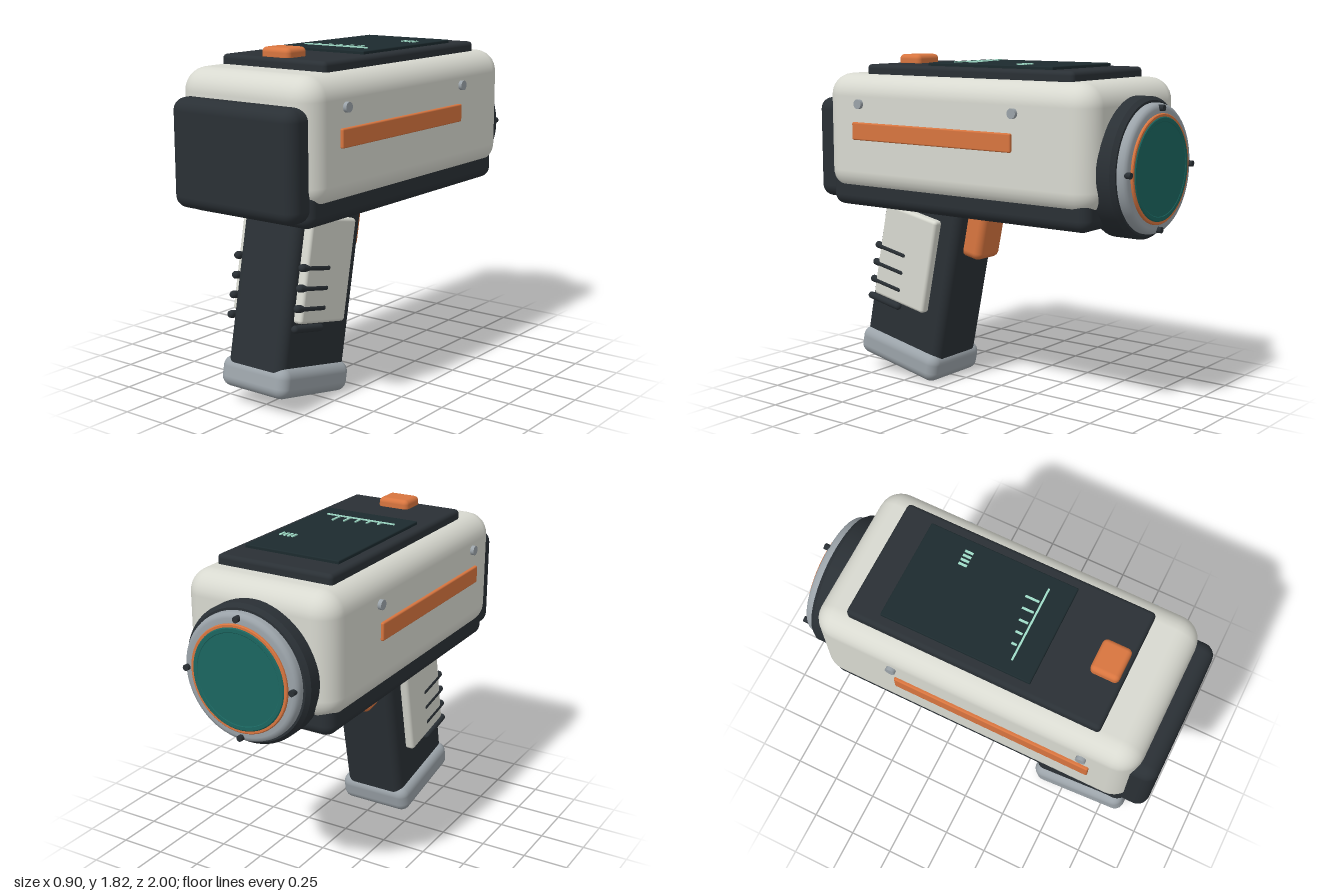
import * as THREE from 'three';
import { RoundedBoxGeometry } from 'three/addons/geometries/RoundedBoxGeometry.js';

const mat = (color) => new THREE.MeshStandardMaterial({ color });

export function createModel() {
  const shell = mat(0xd8d9d0), dark = mat(0x2a3035), orange = mat(0xd8753f), silver = mat(0x9ba3a9);
  const glass = mat(0x1c2a2e), teal = mat(0x1b6660), glow = mat(0x9fdcc8);
  const model = new THREE.Group();

  function add(parent, name, geometry, material, x, y, z) {
    const mesh = new THREE.Mesh(geometry, material);
    mesh.name = name;
    mesh.position.set(x, y, z);
    parent.add(mesh);
    return mesh;
  }
  // rounded box given by its [min, max] range on each axis
  function block(parent, name, material, [x0, x1], [y0, y1], [z0, z1], r, seg = 4) {
    return add(parent, name, new RoundedBoxGeometry(x1 - x0, y1 - y0, z1 - z0, seg, r), material,
      (x0 + x1) / 2, (y0 + y1) / 2, (z0 + z1) / 2);
  }
  const sym = (v) => [-v, v];

  // housing
  block(model, 'housing', shell, sym(0.43), [1.08, 1.73], [-0.845, 0.905], 0.12);
  block(model, 'underside', dark, sym(0.4), [1.0, 1.2], [-0.81, 0.89], 0.06);
  block(model, 'frontPad', dark, sym(0.39), [1.035, 1.59], [0.82, 1.0], 0.065);

  // top console with display and button
  block(model, 'console', dark, sym(0.33), [1.71, 1.78], [-0.68, 0.67], 0.022);
  block(model, 'display', glass, sym(0.272), [1.77, 1.797], [-0.52, 0.28], 0.006, 2);
  block(model, 'button', orange, sym(0.09), [1.76, 1.828], [0.5, 0.65], 0.025);
  const mark = (name, x, z, w, d) =>
    add(model, name, new THREE.BoxGeometry(w, 0.008, d), glow, x, 1.799, z);
  for (let i = 0; i < 4; i++) mark('levelBar', 0.135 + i * 0.024, -0.28, 0.012, 0.045);
  mark('chartBaseline', 0, 0.153, 0.41, 0.01);
  [0.028, 0.036, 0.048, 0.062, 0.074].forEach((h, i) =>
    mark('chartTick', -0.127 + i * 0.062, 0.14 - h / 2, 0.011, h));

  // side stripes and screws
  for (const s of [-1, 1]) {
    add(model, 'sideStripe', new RoundedBoxGeometry(0.04, 0.096, 1.066, 2, 0.008), orange, s * 0.426, 1.423, 0.148);
    for (const z of [0.635, -0.395]) {
      const screw = add(model, 'sideScrew', new THREE.CylinderGeometry(0.026, 0.026, 0.04, 20), silver, s * 0.43, 1.57, z);
      screw.rotation.z = Math.PI / 2;
    }
  }

  // lens assembly: profiles run (radius, distance towards the back)
  const lens = new THREE.Group();
  lens.name = 'lens';
  lens.position.set(0, 1.295, 0);
  lens.rotation.x = -Math.PI / 2;
  model.add(lens);
  const turned = (name, material, points) => {
    const flat = [];
    // doubled points keep the edges crisp
    points.forEach(([r, h]) => flat.push(new THREE.Vector2(r, h), new THREE.Vector2(r, h)));
    for (let i = 1; i < flat.length - 2; i += 2) {
      const part = new THREE.LatheGeometry([flat[i], flat[i + 1]], 64);
      add(lens, name, part, material, 0, 0, 0);
    }
  };
  turned('collar', dark, [[0, 0.76], [0.345, 0.76], [0.358, 0.775], [0.358, 0.91], [0.34, 0.932], [0, 0.932]]);
  const bezelArc = [[0.328, 0.92], [0.328, 0.95], [0.324, 0.965], [0.314, 0.975], [0.3, 0.979], [0.27, 0.979]];
  add(lens, 'bezel', new THREE.LatheGeometry(bezelArc.map(([r, h]) => new THREE.Vector2(r, h)), 64), silver, 0, 0, 0);
  turned('accentRing', orange, [[0.277, 0.96], [0.277, 0.987], [0.273, 0.991], [0.25, 0.991]]);
  turned('lensGlass', teal, [[0.261, 0.97], [0.261, 0.992], [0.256, 0.996], [0.238, 0.996], [0.235, 0.994], [0, 0.994]]);
  for (let i = 0; i < 4; i++) {
    const a = i * Math.PI / 2;
    add(lens, 'lensScrew', new THREE.CylinderGeometry(0.016, 0.016, 0.04, 16), dark,
      Math.cos(a) * 0.304, 0.98, Math.sin(a) * 0.304);
  }

  // raked grip
  const grip = new THREE.Group();
  grip.name = 'grip';
  grip.position.set(0, 1, 0.418);
  grip.rotation.x = -0.2;
  model.add(grip);
  block(grip, 'handle', dark, sym(0.18), [-0.92, 0.12], sym(0.273), 0.05);
  block(grip, 'gripCap', silver, sym(0.215), [-0.968, -0.808], [-0.285, 0.28], 0.055);
  block(grip, 'trigger', orange, sym(0.1), [-0.218, 0.12], [-0.386, -0.24], 0.04);
  for (const s of [-1, 1]) {
    add(grip, 'gripPanel', new RoundedBoxGeometry(0.06, 0.54, 0.37, 3, 0.018), shell, s * 0.198, -0.31, 0.03);
    for (let i = 0; i < 4; i++) {
      const rib = add(grip, 'gripRib', new THREE.CapsuleGeometry(0.02, 0.2, 6, 14), dark, s * 0.212, -0.296 - i * 0.1027, 0.137);
      rib.rotation.x = Math.PI / 2;
    }
  }
  return model;
}
